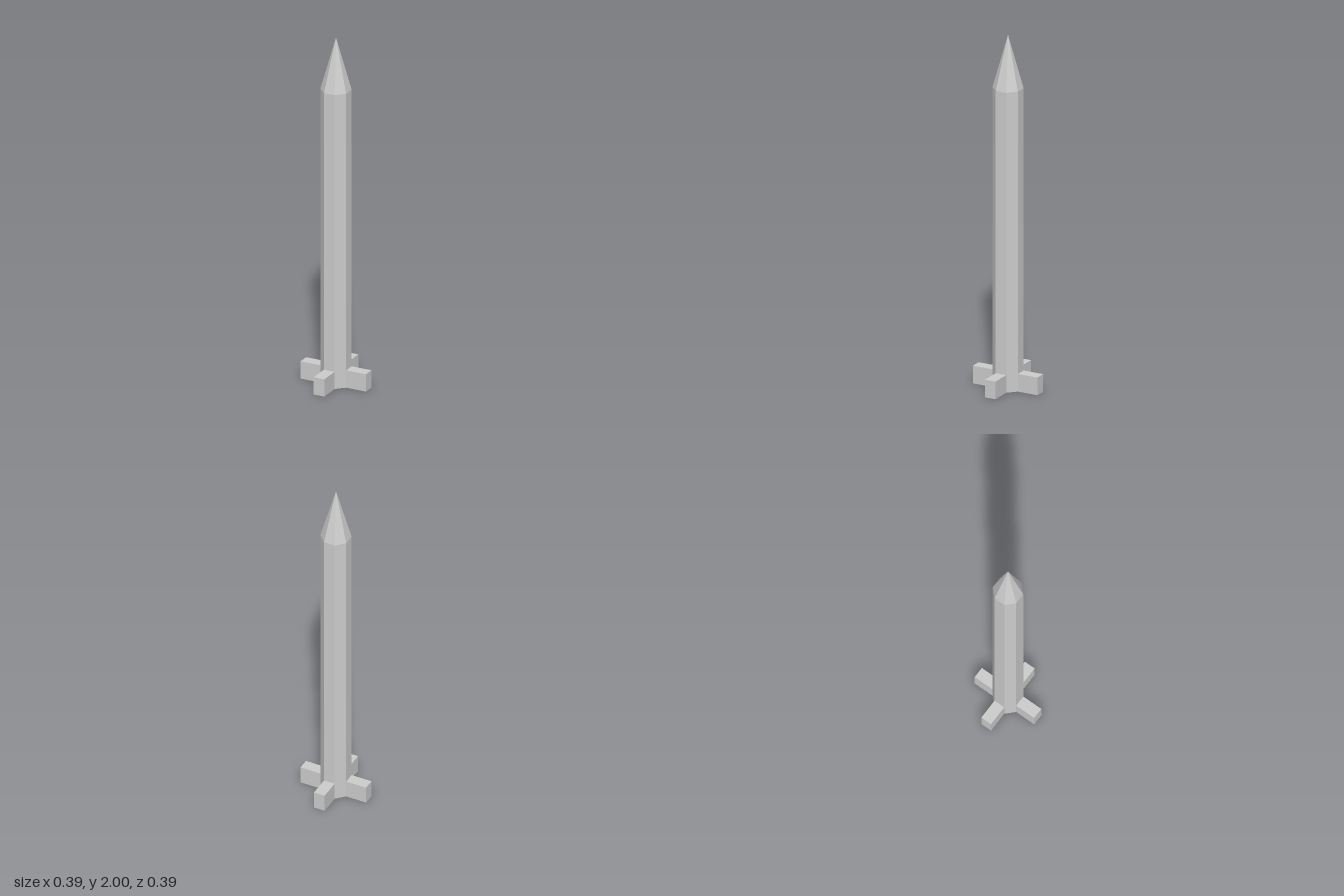
import * as THREE from 'three';

export function createModel() {
  const model = new THREE.Group();
  model.name = 'rocket';
  const material = new THREE.MeshStandardMaterial({ color: 0xcccccc, flatShading: true });

  const sides = 8, radius = 0.084, shoulder = 1.7, height = 2;
  const apothem = radius * Math.cos(Math.PI / sides);
  const faceWidth = 2 * radius * Math.sin(Math.PI / sides);

  const add = (name, geometry) => {
    const mesh = new THREE.Mesh(geometry, material);
    mesh.name = name;
    model.add(mesh);
    return mesh;
  };

  // Octagonal body, corners on the axes
  add('body', new THREE.CylinderGeometry(radius, radius, shoulder, sides, 1, true)
    .translate(0, shoulder / 2, 0));
  add('bodyBase', new THREE.CircleGeometry(radius, sides).rotateX(Math.PI / 2));

  // Pointed nose
  add('nose', new THREE.ConeGeometry(radius, height - shoulder, sides, 1, true)
    .translate(0, (shoulder + height) / 2, 0));

  // Four fins growing out of every second face
  const finReach = 0.197, finHeight = 0.1;
  const finLength = finReach - apothem;
  for (let i = 0; i < 4; i++) {
    const fin = add('fin' + (i + 1), new THREE.BoxGeometry(finLength, finHeight, faceWidth)
      .translate(apothem + finLength / 2, finHeight / 2, 0));
    fin.rotation.y = Math.PI / sides + i * Math.PI / 2;
  }
  return model;
}
